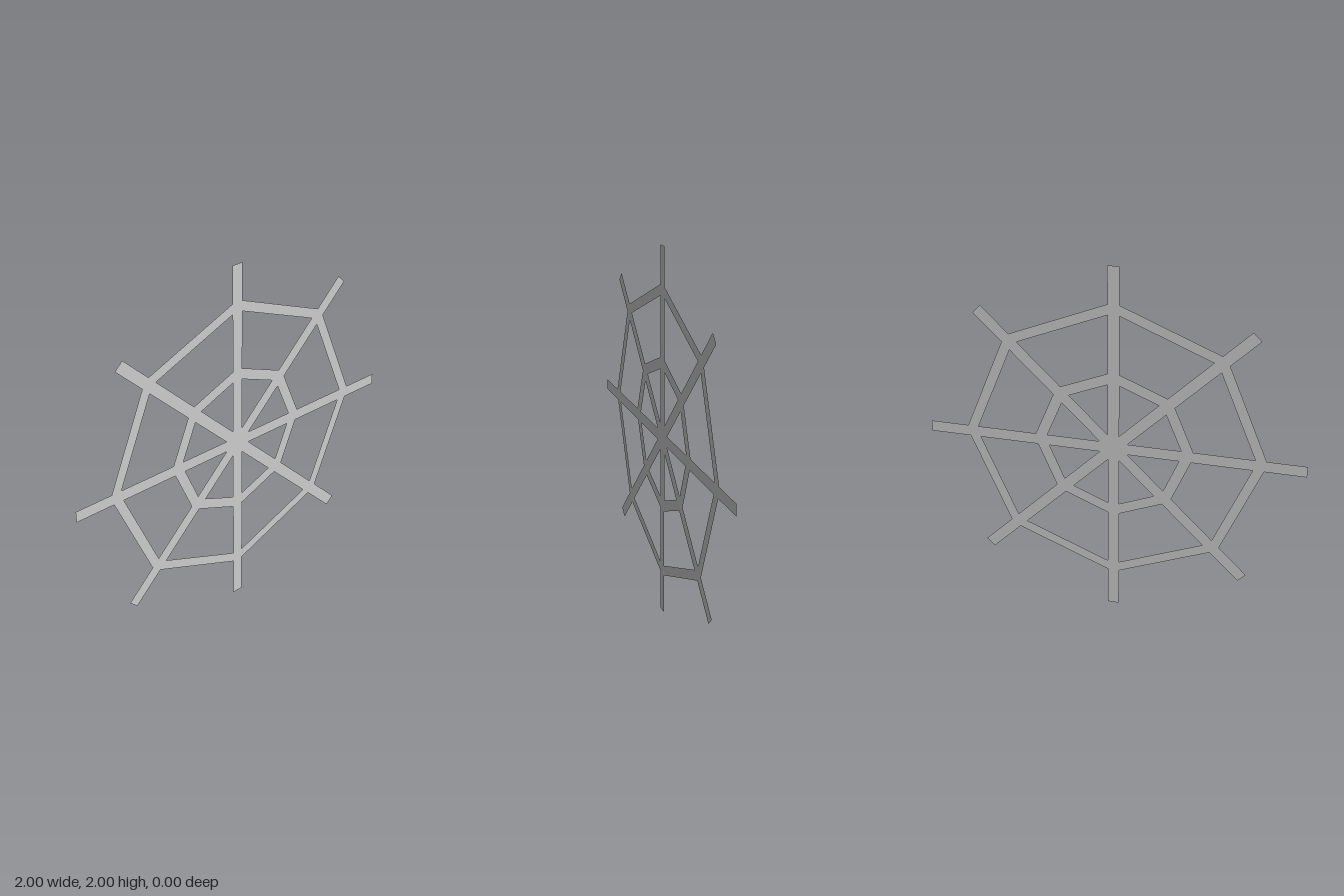
import * as THREE from 'three';

const SIDES = 8;

// Points of a regular octagon with a corner pointing straight up
function octagon(radius) {
  return Array.from({ length: SIDES }, (_, i) => {
    const a = Math.PI / 2 + (i * 2 * Math.PI) / SIDES;
    return new THREE.Vector2(Math.cos(a) * radius, Math.sin(a) * radius);
  });
}

export function createModel() {
  const group = new THREE.Group();
  group.name = 'web';
  const material = new THREE.MeshStandardMaterial({ color: 0xcccccc, side: THREE.DoubleSide });

  // Four flat strips crossing at the hub make eight spokes
  const strip = new THREE.PlaneGeometry(2, 0.061);
  for (let i = 0; i < SIDES / 2; i++) {
    const spoke = new THREE.Mesh(strip, material);
    spoke.name = 'spoke' + (i + 1);
    spoke.position.y = 1;
    spoke.rotation.z = (i * 2 * Math.PI) / SIDES;
    group.add(spoke);
  }

  // Two flat octagonal rings, centred slightly above the hub
  const addRing = (name, outer, inner) => {
    const shape = new THREE.Shape(octagon(outer));
    shape.holes.push(new THREE.Path(octagon(inner).reverse()));
    const ring = new THREE.Mesh(new THREE.ShapeGeometry(shape), material);
    ring.name = name;
    ring.position.y = 1.012;
    group.add(ring);
  };
  addRing('outerRing', 0.801, 0.744);
  addRing('innerRing', 0.426, 0.364);

  return group;
}
